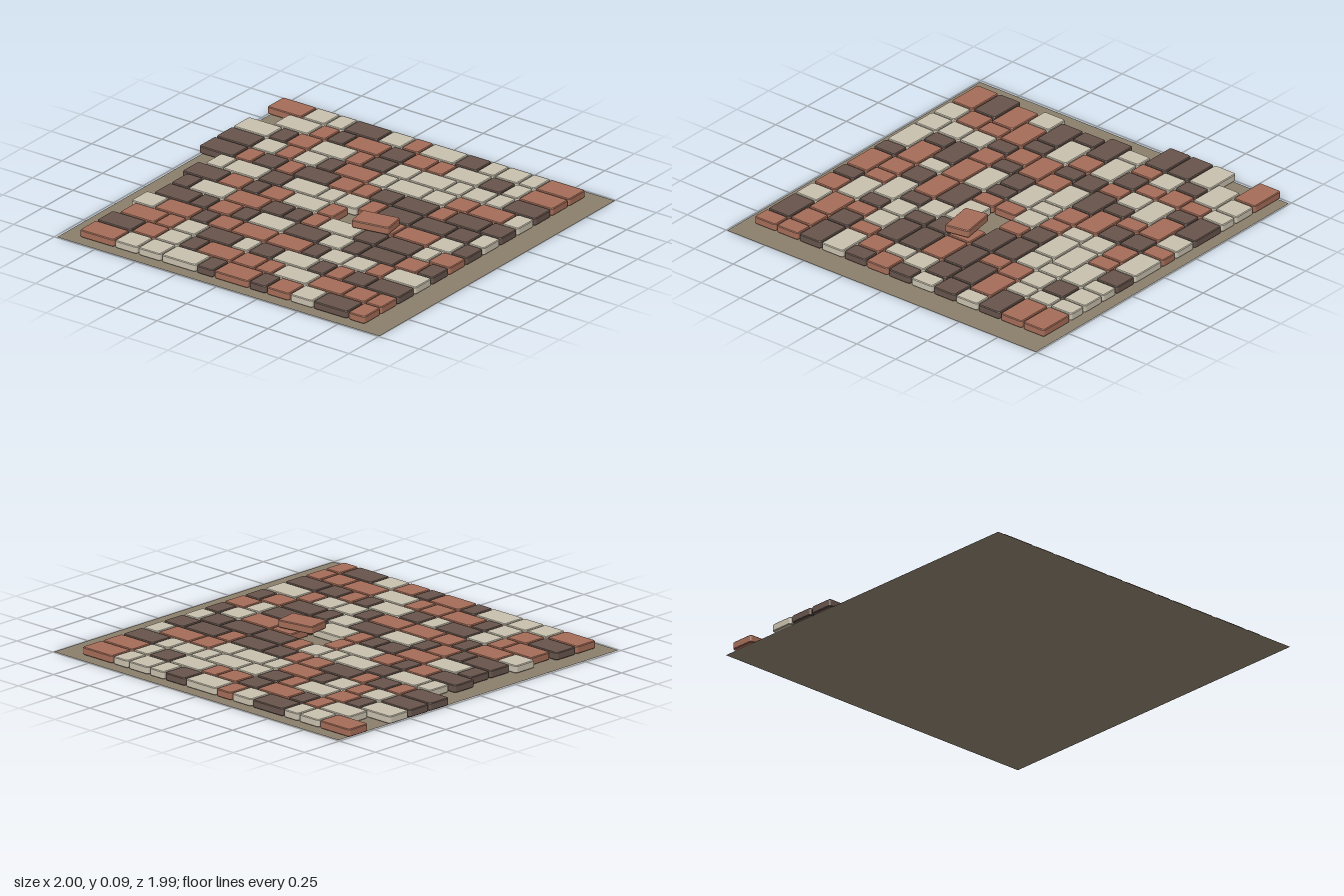
import * as THREE from 'three';

const material = (name, color) => {
  const m = new THREE.MeshStandardMaterial({ color });
  m.name = name;
  return m;
};

// Brick lengths along a course, and shared brick measures
const PITCH = { L: 0.216, M: 0.144, S: 0.108 };
const ROW = 0.144, GAP = 0.008, HEIGHT = 0.04, BEVEL = 0.004;

// Courses from back to front: size then colour (r terracotta, d dark, c cream, - missing)
const COURSES = [
  'Lr Mc Sc Ld Mc Sr Lc Md Sc Mc Sc Lr',
  'Lc Sr Sd Lr Md Mr Sr Lc Md Sc Lr',
  'Lc Sd Mr Lc Sr Md Mc Lc Sc Mc Sc Ld',
  'Ld Mc Sr Mc Sd Lr Sc Lc Mc Mr Lr Sc',
  'Ld Sr Md Sr Ld Mr Sr Md Ld Sr Ld Md',
  'Sc Lc Md Lc Sc Mc Sr Ld Ld Md Sc',
  'Ld Mr Sd Mr Lc Sr L- Mr Lr Mc Sd',
  'Sd Lc Lr Md Sd Sr Lc Md Ld Sc Mr',
  'Ld Sd Mr Sd Lc Ld Mc Sd Ld Mr Sd',
  'Mc Lr Sd Mr Lr Lr Sd Mc Mc Sr Lc',
  'Lr Sr Mc Ld Sc Md Lc Sd Sr Md Ld',
  'Ld Mr Mc Sd Lr Mr Sr Lc Lr Mr Sr',
  'Lr Mc Mc Lc Sd Lr Sd Mr Mc Ld Sr',
];

// Brick with rounded upright corners and a fine bevel, standing on y = 0
function brickGeometry(length) {
  const w = (length - GAP) / 2 - BEVEL, d = (ROW - GAP) / 2 - BEVEL, r = 0.011;
  const s = new THREE.Shape();
  s.moveTo(-w + r, -d);
  s.lineTo(w - r, -d).quadraticCurveTo(w, -d, w, -d + r);
  s.lineTo(w, d - r).quadraticCurveTo(w, d, w - r, d);
  s.lineTo(-w + r, d).quadraticCurveTo(-w, d, -w, d - r);
  s.lineTo(-w, -d + r).quadraticCurveTo(-w, -d, -w + r, -d);
  const g = new THREE.ExtrudeGeometry(s, {
    depth: HEIGHT - 2 * BEVEL, curveSegments: 3,
    bevelEnabled: true, bevelThickness: BEVEL, bevelSize: BEVEL, bevelSegments: 1,
  });
  return g.rotateX(-Math.PI / 2).translate(0, BEVEL, 0);
}

export function createModel() {
  const model = new THREE.Group();
  model.name = 'brickPaving';

  const bricks = {
    r: material('terracotta', 0xa46c57),
    d: material('darkBrown', 0x66534b),
    c: material('cream', 0xc8c0ae),
  };
  const sand = material('sandBed', 0x8b7f6c);
  sand.side = THREE.DoubleSide;

  // Flat bed under the paving
  const bed = new THREE.Mesh(new THREE.PlaneGeometry(1.987, 1.987).rotateX(-Math.PI / 2), sand);
  bed.name = 'bed';
  bed.position.x = 0.0065;
  model.add(bed);

  const geometries = {};
  for (const size in PITCH) geometries[size] = brickGeometry(PITCH[size]);

  // Courses, each laid from its straight right-hand end
  COURSES.forEach((text, i) => {
    const course = new THREE.Group();
    course.name = 'course' + (i + 1);
    course.position.set(0, 0.004, (i - (COURSES.length - 1) / 2) * ROW);
    let edge = 0.867;
    for (const [size, colour] of text.split(' ').reverse()) {
      edge -= PITCH[size];
      if (colour === '-') continue;
      const brick = new THREE.Mesh(geometries[size], bricks[colour]);
      brick.name = 'brick';
      brick.position.x = edge + PITCH[size] / 2;
      course.add(brick);
    }
    model.add(course);
  });

  // Lifted brick lying askew beside its empty place
  const loose = new THREE.Mesh(geometries.L, bricks.r);
  loose.name = 'looseBrick';
  loose.position.set(0.281, 0.05, 0.04);
  loose.rotation.y = 0.17;
  model.add(loose);

  return model;
}
